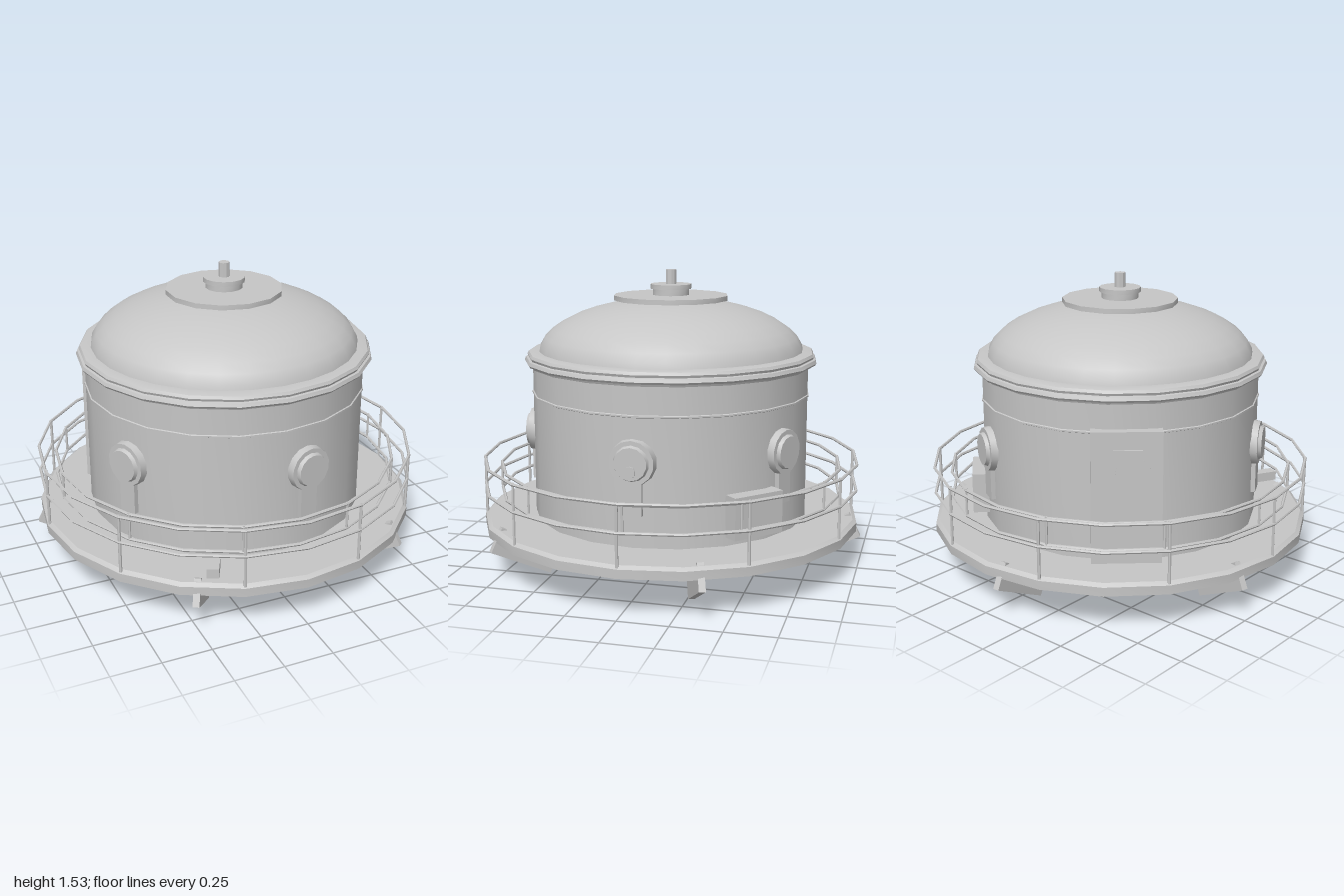
import * as THREE from 'three';
import { toCreasedNormals } from 'three/addons/utils/BufferGeometryUtils.js';

const metal = new THREE.MeshStandardMaterial({ color: 0xc6c6c6 });
metal.name = 'light grey metal';
const SIDES = 20;
const rad = THREE.MathUtils.degToRad;

function add(parent, name, geometry, x = 0, y = 0, z = 0) {
  const mesh = new THREE.Mesh(toCreasedNormals(geometry, 0.6), metal);
  mesh.name = name;
  mesh.position.set(x, y, z);
  parent.add(mesh);
  return mesh;
}

// Surface of revolution; the profile runs from bottom to top
function turned(parent, name, profile, sides = SIDES) {
  const points = profile.map(([r, y]) => new THREE.Vector2(r, y));
  return add(parent, name, new THREE.LatheGeometry(points, sides));
}

function disc(parent, name, r, y0, y1, sides = SIDES) {
  return add(parent, name, new THREE.CylinderGeometry(r, r, y1 - y0, sides), 0, (y0 + y1) / 2, 0);
}

// Group whose local +z points outward at an angle measured from +x towards +z
function facing(parent, name, degrees) {
  const group = new THREE.Group();
  group.name = name;
  group.rotation.y = rad(90 - degrees);
  parent.add(group);
  return group;
}

function block(parent, name, w, h, d, x, y, z) {
  return add(parent, name, new THREE.BoxGeometry(w, h, d), x, y, z);
}

// Cylinder with its axis pointing outward
function plug(parent, name, r, rOuter, z0, z1, x, y, sides = 14) {
  const geometry = new THREE.CylinderGeometry(rOuter, r, z1 - z0, sides).rotateX(Math.PI / 2);
  return add(parent, name, geometry, x, y, (z0 + z1) / 2);
}

// Polygonal handrail
function rail(parent, r, y) {
  const geometry = new THREE.TorusGeometry(r, 0.008, 6, SIDES).rotateX(Math.PI / 2);
  add(parent, 'handrail', geometry, 0, y, 0);
}

export function createModel() {
  const model = new THREE.Group();
  model.name = 'roundStation';

  // Hull, seam and rim
  turned(model, 'hullWall', [[0.72, 0.17], [0.72, 1.06]]);
  turned(model, 'hullBottom', [[0, 0.1], [0.35, 0.102], [0.52, 0.108], [0.62, 0.12], [0.67, 0.14], [0.7, 0.18]], 32);
  turned(model, 'wallSeam', [[0.718, 0.892], [0.726, 0.896], [0.726, 0.904], [0.718, 0.908]]);
  turned(model, 'roofRim', [
    [0.71, 1.045], [0.735, 1.045], [0.74, 1.056], [0.755, 1.058], [0.762, 1.068],
    [0.755, 1.085], [0.743, 1.088], [0.748, 1.1], [0.74, 1.114], [0.715, 1.12], [0.67, 1.12],
  ]);

  // Domed roof and its cap
  const dome = [];
  for (let i = 0; i <= 10; i++) {
    const a = (i / 10) * Math.PI / 2;
    dome.push([0.69 * Math.cos(a), 1.1 + 0.285 * Math.sin(a)]);
  }
  turned(model, 'dome', dome, 28);
  disc(model, 'roofCap', 0.298, 1.375, 1.4, 14);
  disc(model, 'ventBase', 0.095, 1.4, 1.432, 14);
  disc(model, 'ventLid', 0.107, 1.432, 1.456, 14);
  disc(model, 'ventPipe', 0.028, 1.456, 1.53, 10);

  // Walkway
  turned(model, 'walkway', [[0.7, 0.2], [0.99, 0.2], [0.99, 0.245], [0.97, 0.26], [0.7, 0.26]]);
  disc(model, 'walkwayUnderside', 0.9, 0.172, 0.2);

  // Railings
  for (const [r, low, high] of [[0.983, 0.415, 0.552], [0.895, 0.387, 0.522]]) {
    rail(model, r, low);
    rail(model, r, high);
  }
  for (let i = 0; i < 10; i++) {
    const post = facing(model, 'railPost', i * 36);
    add(post, 'outerPost', new THREE.CylinderGeometry(0.008, 0.008, 0.31, 6), 0, 0.405, 0.98);
    add(post, 'innerPost', new THREE.CylinderGeometry(0.007, 0.007, 0.15, 6), 0, 0.455, 0.895);
  }

  // Slanted fin legs
  for (let i = 0; i < 5; i++) {
    const leg = facing(model, 'leg', 49.3 + i * 72);
    block(leg, 'legFin', 0.033, 0.136, 0.345, 0, 0.137, 0.824).rotation.x = -rad(26);
  }

  // Brackets around the lower hull and a small box beneath
  for (let i = 0; i < 8; i++) {
    block(facing(model, 'bracket', 22.5 + i * 45), 'bracketBlock', 0.06, 0.075, 0.06, 0, 0.14, 0.69);
  }
  block(model, 'bellyBox', 0.045, 0.06, 0.14, 0.56, 0.1, 0);

  // Portholes, each with a panel below
  for (const angle of [0, 79.5, 154, -64]) {
    const port = facing(model, 'porthole', angle);
    plug(port, 'portholeFrame', 0.118, 0.11, 0.69, 0.745, 0, 0.68);
    plug(port, 'portholeGlass', 0.09, 0.08, 0.74, 0.763, 0, 0.68);
    block(port, 'portholePanel', 0.095, 0.17, 0.04, 0, 0.505, 0.715);
    if (angle === 0) plug(port, 'portholeKnob', 0.028, 0.028, 0.755, 0.772, 0, 0.643, 10);
  }

  // Door with a window and a round plate
  const door = facing(model, 'door', 227);
  block(door, 'doorPanel', 0.34, 0.66, 0.08, 0, 0.59, 0.716);
  plug(door, 'doorPlate', 0.085, 0.085, 0.75, 0.76, 0.03, 0.71, 20);
  block(door, 'doorWindow', 0.14, 0.085, 0.02, 0.005, 0.79, 0.757);

  // Equipment boxes
  block(facing(model, 'equipment', 313), 'equipmentBox', 0.28, 0.21, 0.11, 0, 0.41, 0.73);
  block(facing(model, 'walkwayLocker', 117), 'lockerBox', 0.06, 0.05, 0.13, 0, 0.303, 0.885);

  return model;
}
